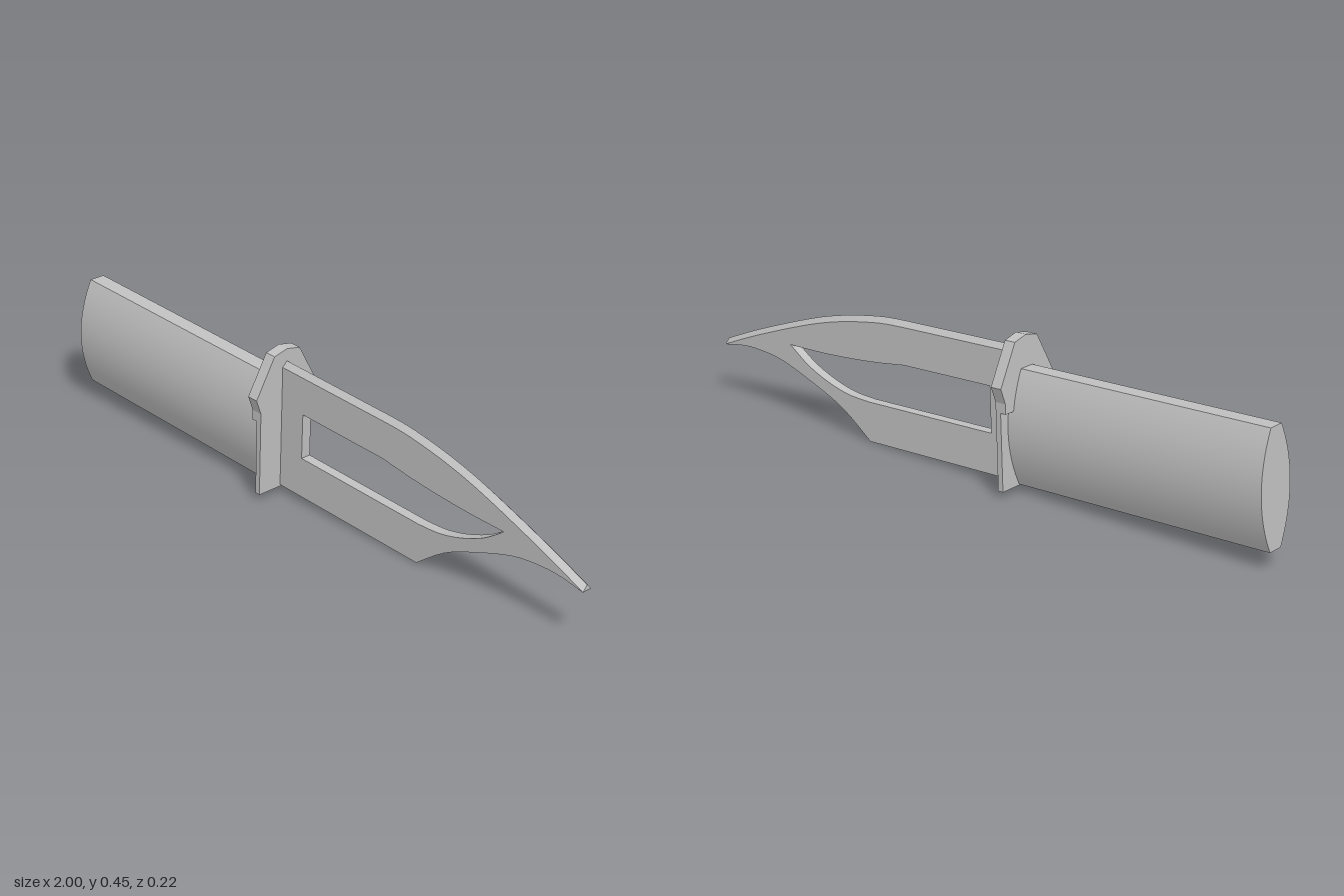
import * as THREE from 'three';
import { toCreasedNormals } from 'three/addons/utils/BufferGeometryUtils.js';

const TILT = -0.041;
const vecs = (pts) => pts.map(([x, y]) => new THREE.Vector2(x, y));

// Extrude a (z, y) cross-section along x from x0 to x1
function extrudeX(pts, x0, x1) {
  const g = new THREE.ExtrudeGeometry(new THREE.Shape(vecs(pts)), { depth: x1 - x0, bevelEnabled: false });
  g.rotateY(Math.PI / 2);
  g.translate(x0, 0, 0);
  return g;
}

// Mirror a half profile into a closed symmetric outline
const mirrored = (half) => [...half, ...half.slice().reverse().map(([x, y]) => [-x, y])];

// Sample a smooth curve through a few points
const smooth = (pts, n) => new THREE.SplineCurve(vecs(pts)).getPoints(n);

export function createModel() {
  const group = new THREE.Group();
  const steel = new THREE.MeshStandardMaterial({ color: 0xc0c0c0 });
  steel.name = 'grey steel';

  const add = (name, geometry, x = 0, y = 0, tilt = 0) => {
    const mesh = new THREE.Mesh(geometry, steel);
    mesh.name = name;
    mesh.position.set(x, y, 0);
    mesh.rotation.z = tilt;
    group.add(mesh);
  };

  // Handle: lens-shaped section with flat top and bottom
  const side = [];
  for (let i = 0; i <= 20; i++) {
    const t = -1 + i / 10;
    side.push([0.065 - 0.041 * t * t, 0.17 * t]);
  }
  add('handle', toCreasedNormals(extrudeX(mirrored(side), 0, 0.845), 0.5), -0.992, 0.2275, TILT);

  // Guard: thick crown above a thinner plate
  const crown = [[0.094, 0.01], [0.094, 0.04], [0.111, 0.087], [0.047, 0.204], [0, 0.215]];
  add('guardCrown', extrudeX(mirrored(crown).filter((p, i) => i !== 5), -0.024, 0.011), -0.15, 0.24, TILT);
  add('guardPlate', extrudeX(mirrored([[0.094, -0.22], [0.094, 0.01]]), -0.006, 0.011), -0.15, 0.24, TILT);

  // Blade: flat body with a long cutout
  const half = 0.0155;
  const spine = [new THREE.Vector2(-0.145, 0.401),
    ...smooth([[0.28, 0.381], [0.37, 0.373], [0.51, 0.346], [0.65, 0.305], [0.86, 0.226], [1, 0.166]], 24)];
  const edge = smooth([[1, 0.165], [0.93, 0.178], [0.86, 0.181], [0.757, 0.169], [0.62, 0.123], [0.51, 0.075], [0.405, 0.001]], 24);
  const outline = [new THREE.Vector2(-0.155, 0.025), ...edge.slice().reverse(), ...spine.slice().reverse().slice(1)];
  const blade = new THREE.Shape(outline);
  blade.holes.push(new THREE.Path([
    ...vecs([[-0.056, 0.144], [-0.05, 0.283]]),
    ...smooth([[0.27, 0.268], [0.38, 0.251], [0.49, 0.239], [0.6, 0.231], [0.722, 0.227]], 14),
    ...smooth([[0.718, 0.224], [0.65, 0.179], [0.57, 0.146], [0.49, 0.127], [0.41, 0.123]], 14),
  ]));
  const body = new THREE.ExtrudeGeometry(blade, { depth: 2 * half, bevelEnabled: false });
  body.translate(0, 0, -half);
  add('blade', toCreasedNormals(body, 0.3));

  // Spine: triangular ridge following the top of the blade
  const pos = [];
  const quad = (a, b, c, d) => pos.push(...a, ...b, ...c, ...a, ...c, ...d);
  const section = (p) => ({
    front: [p.x, p.y, half], top: [p.x, p.y + 0.016, 0], back: [p.x, p.y, -half],
  });
  for (let i = 0; i < spine.length - 1; i++) {
    const a = section(spine[i]), b = section(spine[i + 1]);
    quad(a.front, b.front, b.top, a.top);
    quad(a.top, b.top, b.back, a.back);
  }
  const tip = section(spine[spine.length - 1]);
  pos.push(...tip.front, ...tip.back, ...tip.top);
  const ridge = new THREE.BufferGeometry();
  ridge.setAttribute('position', new THREE.Float32BufferAttribute(pos, 3));
  ridge.computeVertexNormals();
  add('bladeSpine', toCreasedNormals(ridge, 0.3));

  return group;
}
